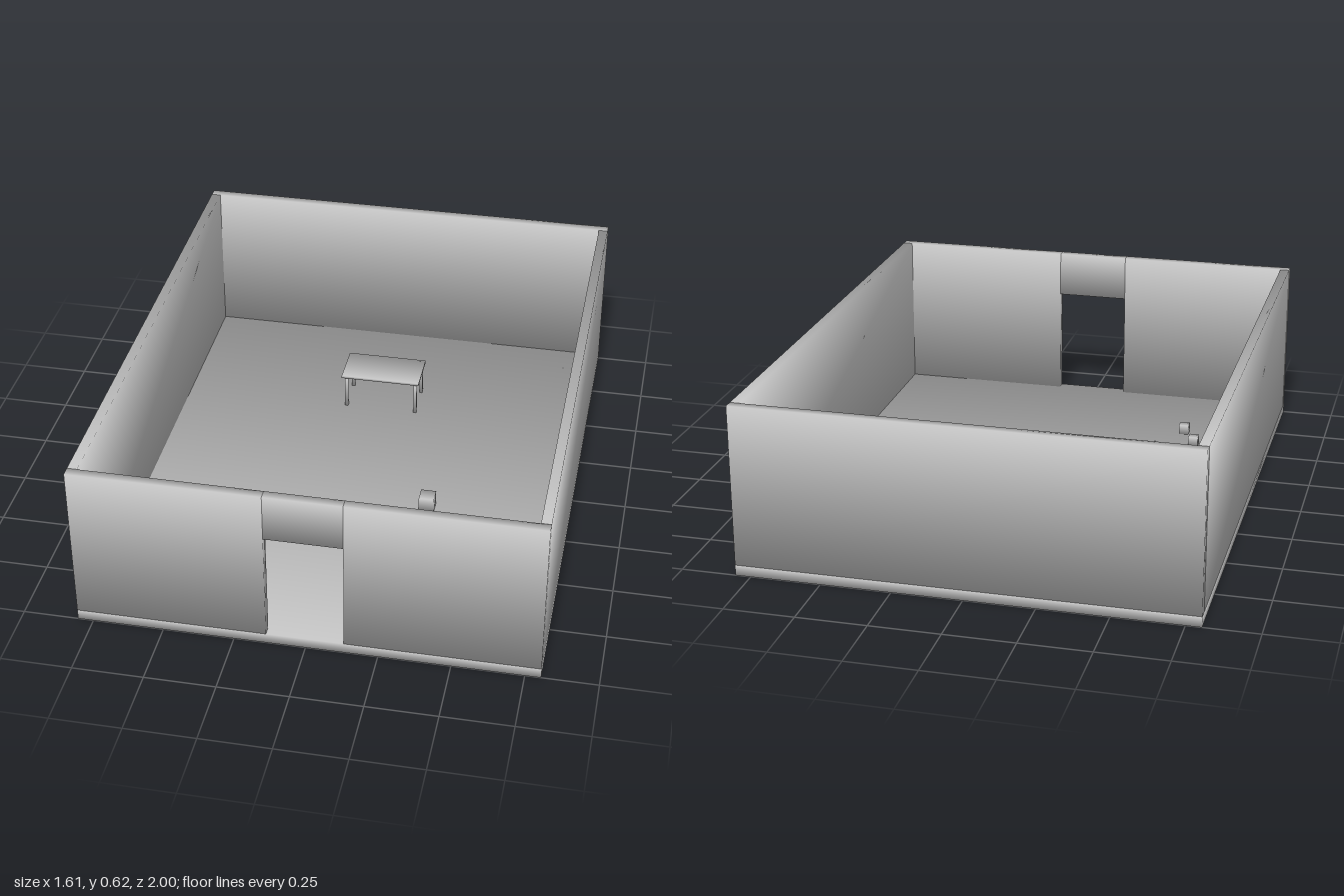
import * as THREE from 'three';

export function createModel() {
  const model = new THREE.Group();
  const grey = new THREE.MeshStandardMaterial({ color: 0xcccccc });
  grey.name = 'light grey';

  // Box given by its limits, with soft normals shared at each corner
  function block(name, [x0, x1], [y0, y1], [z0, z1], parent = model) {
    const geo = new THREE.BoxGeometry(x1 - x0, y1 - y0, z1 - z0);
    const pos = geo.attributes.position;
    const k = 1 / Math.sqrt(3);
    for (let i = 0; i < pos.count; i++) {
      geo.attributes.normal.setXYZ(i,
        Math.sign(pos.getX(i)) * k, Math.sign(pos.getY(i)) * k, Math.sign(pos.getZ(i)) * k);
    }
    const mesh = new THREE.Mesh(geo, grey);
    mesh.name = name;
    mesh.position.set((x0 + x1) / 2, (y0 + y1) / 2, (z0 + z1) / 2);
    parent.add(mesh);
  }

  const W = 0.805, D = 1, T = 0.035;      // half width, half depth, wall thickness
  const FLOOR = 0.038, TOP = 0.618;
  const wallY = [FLOOR, TOP];
  const doorL = -0.137, doorR = 0.133, doorTop = 0.446;

  // Floor and walls
  block('floor', [-W, W], [0, FLOOR], [-D, D]);
  block('backWall', [-W, W], wallY, [-D, -D + T]);
  block('leftWall', [W - T, W], wallY, [-D + T, D - T]);
  block('rightWall', [-W, -W + T], wallY, [-D + T, D - T]);

  // Front wall with doorway
  block('frontWallRight', [-W, doorL], wallY, [D - T, D]);
  block('frontWallLeft', [doorR, W], wallY, [D - T, D]);
  block('doorLintel', [doorL, doorR], [doorTop, TOP], [D - T, D]);

  // Table
  const table = new THREE.Group();
  table.name = 'table';
  model.add(table);
  block('tableTop', [-0.155, 0.15], [0.17, 0.18], [-0.57, -0.4], table);
  const leg = 0.012;
  for (const x of [-0.143, 0.13]) {
    for (const z of [-0.563, -0.419]) {
      block('tableLeg', [x, x + leg], [FLOOR, 0.17], [z, z + leg], table);
    }
  }

  // Loose cubes on the floor
  const cube = (name, x, z, s) =>
    block(name, [x - s / 2, x + s / 2], [FLOOR, FLOOR + s], [z - s / 2, z + s / 2]);
  cube('largeCube', 0.285, 0.19, 0.056);
  for (const [x, z] of [[-0.522, 0.458], [-0.58, 0.575], [-0.465, 0.575]]) {
    cube('smallCube', x, z, 0.037);
  }

  return model;
}
